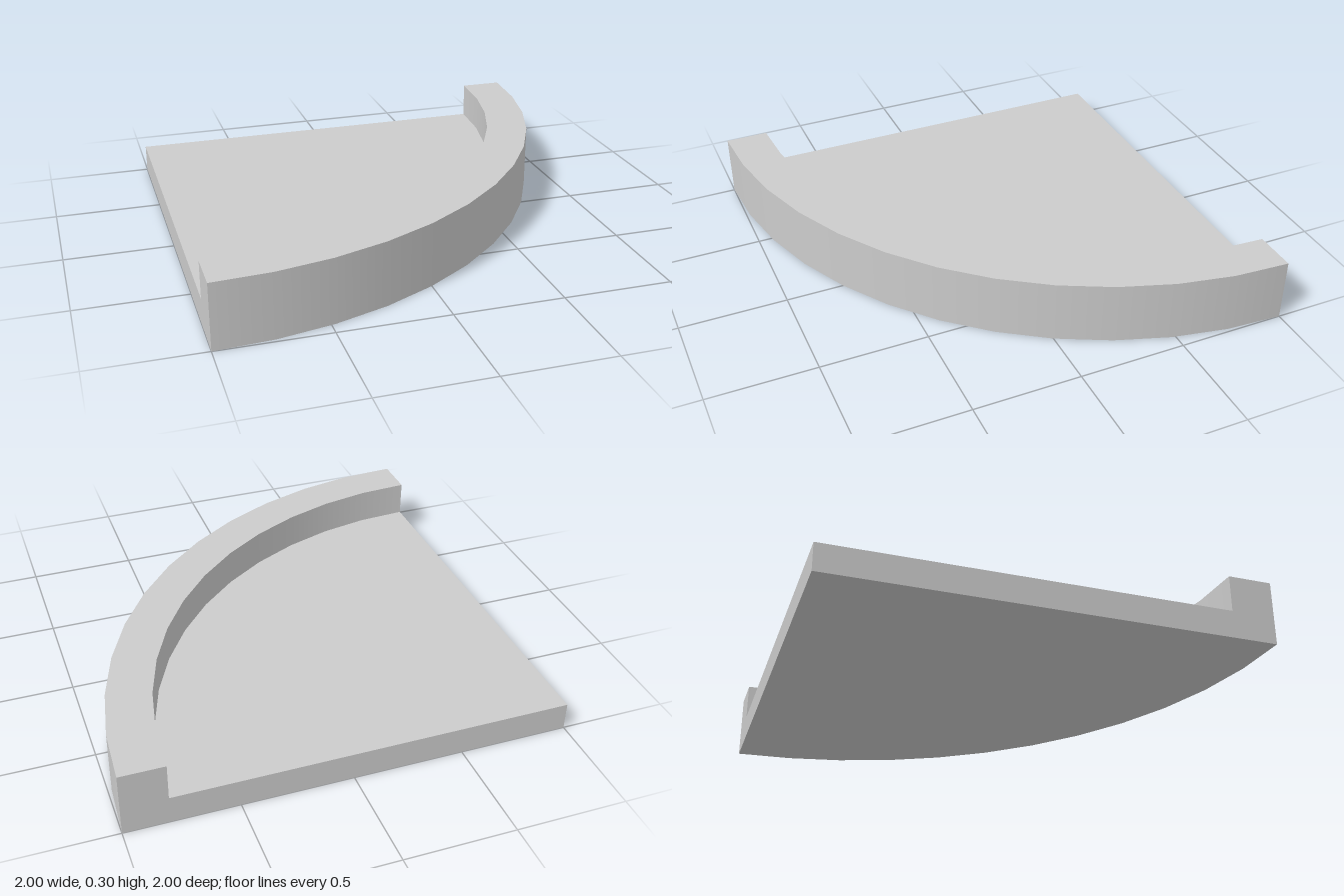
import * as THREE from 'three';

const R = 2, INNER = 1.8, HEIGHT = 0.297, FLOOR = 0.128, SEGMENTS = 12;

export function createModel() {
  const model = new THREE.Group();
  model.name = 'quarterRoundTray';
  const material = new THREE.MeshStandardMaterial({ color: 0xcccccc });

  const add = (name, geometry) => {
    const mesh = new THREE.Mesh(geometry, material);
    mesh.name = name;
    mesh.position.set(-1, 0, -1); // the square corner is the centre of the arc
    model.add(mesh);
  };

  // L-shaped cross-section, counter-clockwise from the corner
  const profile = [[0, 0], [R, 0], [R, HEIGHT], [INNER, HEIGHT], [INNER, FLOOR], [0, FLOOR]]
    .map(([x, y]) => new THREE.Vector2(x, y));

  // Each edge sweeps a quarter turn on its own, so the corners stay sharp
  ['underside', 'outerWall', 'rim', 'innerWall', 'floor'].forEach((name, i) => {
    add(name, new THREE.LatheGeometry([profile[i], profile[i + 1]], SEGMENTS, 0, Math.PI / 2));
  });

  // Flat straight sides closing the sweep
  const side = new THREE.ShapeGeometry(new THREE.Shape(profile));
  add('rightSide', side.rotateY(-Math.PI / 2));
  const mirrored = profile.map((p) => new THREE.Vector2(-p.x, p.y)).reverse();
  const back = new THREE.ShapeGeometry(new THREE.Shape(mirrored));
  add('backSide', back.rotateY(Math.PI));

  return model;
}
